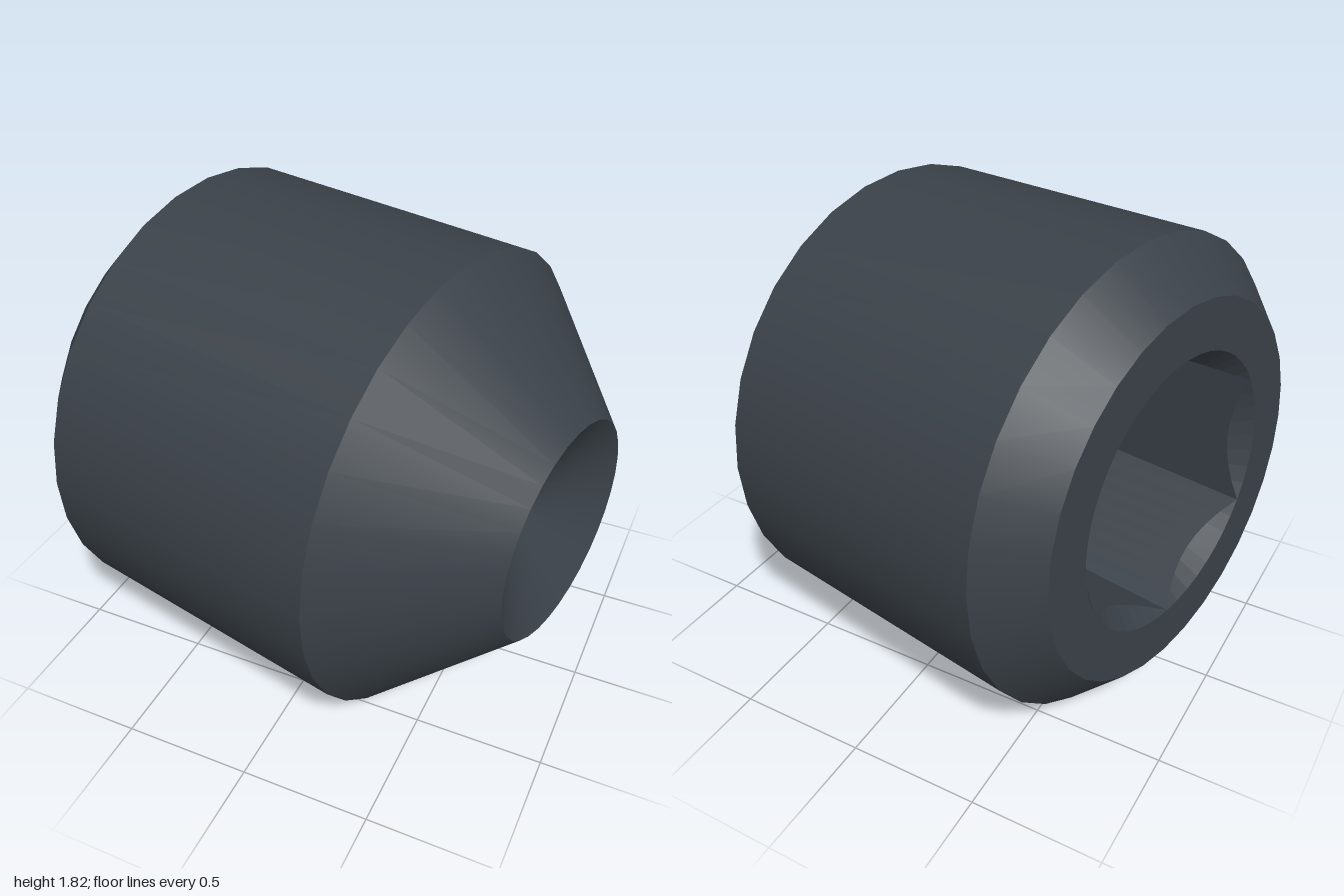
import * as THREE from 'three';

const SIDES = 32;          // facets around the body
const HEX_STEPS = 48;      // steps around the socket, 8 per flat
const REAR = -0.9, FRONT = 0.9;
const SOCKET_R = 0.527, SOCKET_FLOOR = -0.19;

// Radius of the hexagon at an angle measured from one of its corners
function hexRadius(angle) {
  const sector = Math.PI / 3;
  const a = ((angle % sector) + sector) % sector - sector / 2;
  return SOCKET_R * Math.cos(sector / 2) / Math.cos(a);
}

// Points of a circle in the plane, starting at the top
function circlePoints(radius, count) {
  return Array.from({ length: count }, (_, i) => {
    const a = i / count * Math.PI * 2;
    return new THREE.Vector2(radius * Math.sin(a), radius * Math.cos(a));
  });
}

// Hex socket: 45 degree countersink, six flat walls and a flat floor
function socketGeometry() {
  const pos = [];
  const ring = (i, level) => {
    const a = (i % HEX_STEPS) / HEX_STEPS * Math.PI * 2;
    const h = hexRadius(a);
    const r = level === 0 ? SOCKET_R : h;
    const x = [REAR, REAR + SOCKET_R - h, SOCKET_FLOOR][level];
    return [x, r * Math.cos(a), r * Math.sin(a)];
  };
  for (let i = 0; i < HEX_STEPS; i++) {
    for (let level = 0; level < 2; level++) {
      const a = ring(i, level), b = ring(i + 1, level);
      const c = ring(i + 1, level + 1), d = ring(i, level + 1);
      pos.push(...a, ...d, ...c, ...a, ...c, ...b);
    }
    pos.push(SOCKET_FLOOR, 0, 0, ...ring(i + 1, 2), ...ring(i, 2));
  }
  const geo = new THREE.BufferGeometry();
  geo.setAttribute('position', new THREE.Float32BufferAttribute(pos, 3));
  geo.computeVertexNormals();
  return geo;
}

export function createModel() {
  const steel = new THREE.MeshStandardMaterial({ color: 0x3a4148 });
  steel.name = 'blackened steel';

  const model = new THREE.Group();
  model.name = 'setScrew';
  const add = (name, geometry) => {
    const mesh = new THREE.Mesh(geometry, steel);
    mesh.name = name;
    model.add(mesh);
  };

  // Turned surfaces along the x axis, one band each so the edges stay sharp
  const bands = [
    ['rearChamfer', 0.72, REAR, 0.9, -0.72],
    ['barrel', 0.9, -0.72, 0.9, 0.425],
    ['pointTaper', 0.9, 0.425, 0.425, FRONT],
    ['cupRecess', 0.425, FRONT, 0, FRONT - 0.245],
  ];
  for (const [name, r0, x0, r1, x1] of bands) {
    const profile = [new THREE.Vector2(r0, x0), new THREE.Vector2(r1, x1)];
    add(name, new THREE.LatheGeometry(profile, SIDES).rotateZ(-Math.PI / 2));
  }

  // Flat rear face around the socket mouth
  const face = new THREE.Shape(circlePoints(0.72, SIDES));
  face.holes.push(new THREE.Path(circlePoints(SOCKET_R, HEX_STEPS)));
  add('rearFace', new THREE.ShapeGeometry(face).rotateY(-Math.PI / 2).translate(REAR, 0, 0));

  add('hexSocket', socketGeometry());

  // Lying turned towards the front and dipped slightly at the point
  model.rotation.set(0, THREE.MathUtils.degToRad(-12), THREE.MathUtils.degToRad(-1.2));
  model.position.set(0.03, 0.909, 0.03);

  const root = new THREE.Group();
  root.name = 'model';
  root.add(model);
  return root;
}
